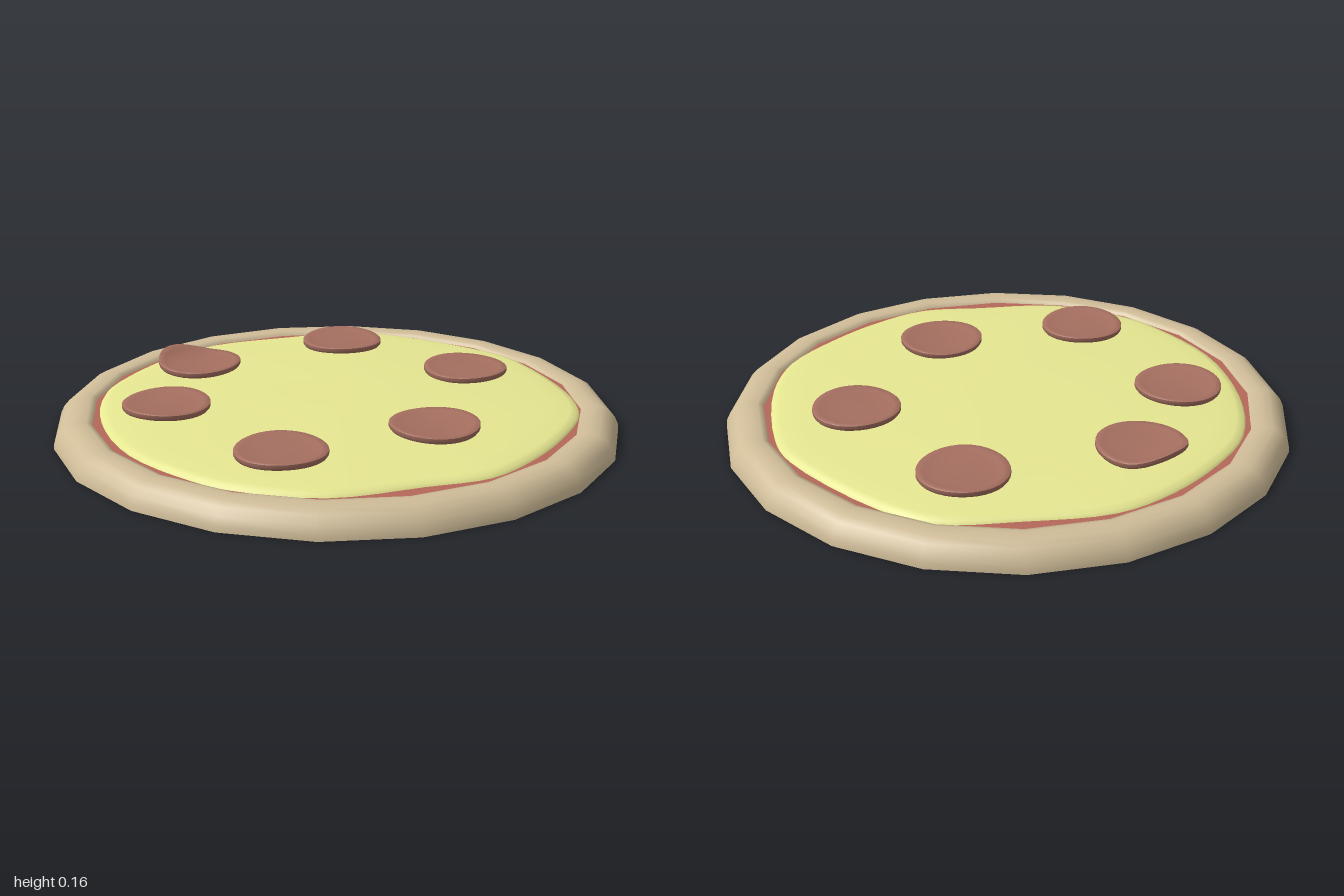
import * as THREE from 'three';
import { toCreasedNormals } from 'three/addons/utils/BufferGeometryUtils.js';

const mat = (color) => new THREE.MeshStandardMaterial({ color });
const profile = (pts) => pts.map(([r, y]) => new THREE.Vector2(r, y));

function addMesh(parent, name, geometry, material) {
  const mesh = new THREE.Mesh(geometry, material);
  mesh.name = name;
  parent.add(mesh);
  return mesh;
}

// Flat disc whose corners line up with a lathe of the same side count
function disc(radius, sides, up) {
  const g = new THREE.CircleGeometry(radius, sides);
  g.rotateX(up ? -Math.PI / 2 : Math.PI / 2);
  return g;
}

// Domed sheet with an irregular outline, built from shrinking copies of it
function cheeseGeometry() {
  const outline = [
    [0.11, -0.84], [-0.32, -0.785], [-0.5, -0.7], [-0.66, -0.48], [-0.81, -0.22],
    [-0.835, 0], [-0.8, 0.24], [-0.72, 0.45], [-0.51, 0.66], [-0.21, 0.81],
    [0.1, 0.835], [0.25, 0.81], [0.51, 0.67], [0.69, 0.41], [0.81, 0.22],
    [0.83, 0], [0.8, -0.23], [0.73, -0.45], [0.59, -0.61], [0.27, -0.8],
  ].map(([x, z]) => new THREE.Vector3(x, 0, z));
  const n = 80;
  const edge = new THREE.CatmullRomCurve3(outline, true).getPoints(n).slice(0, n);
  const rings = [[0.15, 0.115], [0.3, 0.115], [0.45, 0.112], [0.6, 0.107], [0.75, 0.1],
    [0.88, 0.093], [0.96, 0.087], [0.99, 0.08], [1, 0.066]];

  const pos = [0, 0.115, 0];
  const index = [];
  rings.forEach(([s, y], k) => {
    edge.forEach((p, i) => {
      const x = p.x * s, z = p.z * s;
      const bump = 0.003 * Math.sin(7 * x + 1) * Math.cos(6 * z) * (1 - s * s);
      pos.push(x, y + bump, z);
      const j = (i + 1) % n;
      const b = 1 + k * n, a = b - n;
      if (k === 0) index.push(0, b + i, b + j);
      else index.push(a + i, b + i, b + j, a + i, b + j, a + j);
    });
  });
  const g = new THREE.BufferGeometry();
  g.setAttribute('position', new THREE.Float32BufferAttribute(pos, 3));
  g.setIndex(index);
  g.computeVertexNormals();
  return g;
}

// Thin cupped slice; curl lifts its -x edge, phase turns its gentle wave
function sliceGeometry(phase, curl) {
  const R = 0.153;
  const g = new THREE.LatheGeometry(profile([
    [0, 0], [0.08, 0], [0.13, 0.002], [0.148, 0.007], [R, 0.014], [R, 0.026], [0.149, 0.029],
    [0.13, 0.025], [0.1, 0.022], [0.05, 0.02], [0, 0.02],
  ]), 36);
  const p = g.attributes.position;
  for (let i = 0; i < p.count; i++) {
    const x = p.getX(i), z = p.getZ(i);
    const wave = 0.003 * Math.sin(2 * Math.atan2(z, x) + phase) * Math.hypot(x, z) / R;
    const t = Math.max(0, (-x - 0.05) / 0.1);
    p.setY(i, p.getY(i) + wave + curl * t * t);
  }
  return toCreasedNormals(g, 0.9);
}

export function createModel() {
  const pizza = new THREE.Group();
  pizza.name = 'pizza';
  const dough = mat(0xcfbc98);

  // Crust: 20-sided rounded rim around a flat base
  addMesh(pizza, 'crustRim', new THREE.LatheGeometry(profile([
    [1, 0], [0.997, 0.02], [0.985, 0.045], [0.965, 0.068], [0.94, 0.082],
    [0.91, 0.085], [0.885, 0.083], [0.868, 0.078], [0.86, 0.06],
  ]), 20), dough);
  addMesh(pizza, 'crustBase', disc(1, 20, false), dough);

  // Sauce showing between cheese and rim
  addMesh(pizza, 'sauce', disc(0.87, 20, true), mat(0xb5685a)).position.y = 0.07;

  addMesh(pizza, 'cheese', cheeseGeometry(), mat(0xe6e791));

  // Six slices: x, z and edge curl
  const meat = mat(0xa56f60);
  const slices = new THREE.Group();
  slices.name = 'slices';
  pizza.add(slices);
  [
    [-0.37, -0.485, 0], [0.205, -0.505, 0], [-0.605, 0.075, 0.027],
    [0.47, 0.06, 0], [-0.37, 0.48, 0], [0.23, 0.56, 0],
  ].forEach(([x, z, curl], i) => {
    addMesh(slices, 'slice' + (i + 1), sliceGeometry(i * 1.3, curl), meat)
      .position.set(x, 0.104, z);
  });
  return pizza;
}
